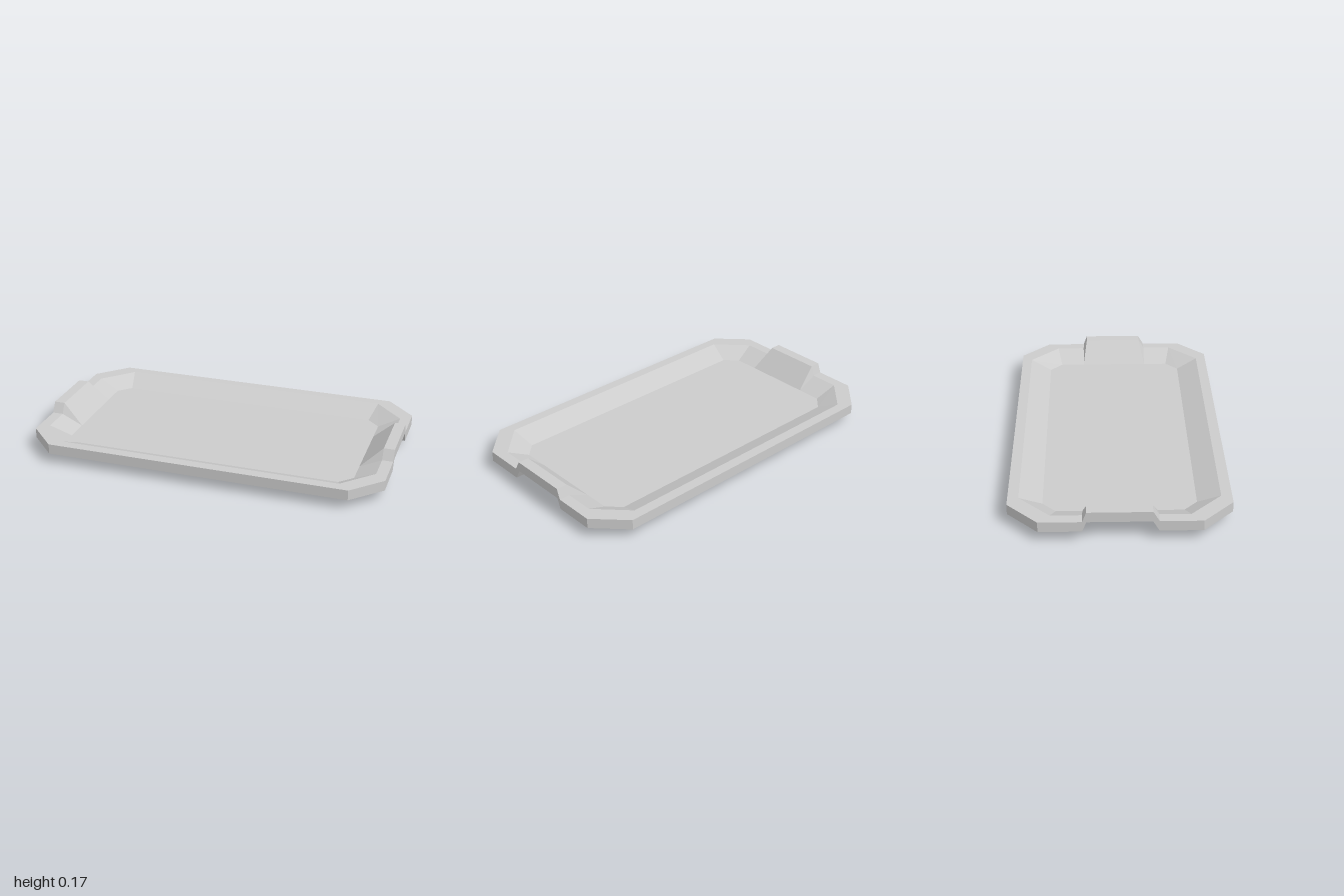
import * as THREE from 'three';

const T = 0.057; // sheet thickness, measured straight up
const RIM = 0.057; // underside of the rim
const GRIP = 0.113; // underside of the raised handles

// Cross-section rings: right half from front to back as [x, z, underside height]
const floorHalf = [
  [0.75, 0.4, 0], [0.82, 0.33, 0], [0.82, 0.193, 0], [0.82, 0.193, 0],
  [0.82, -0.193, 0], [0.82, -0.193, 0], [0.82, -0.33, 0], [0.75, -0.4, 0],
];
const innerHalf = [
  [0.78, 0.52, RIM], [0.94, 0.355, RIM], [0.94, 0.193, RIM], [0.94, 0.16, GRIP],
  [0.94, -0.172, GRIP], [0.94, -0.193, RIM], [0.94, -0.355, RIM], [0.78, -0.52, RIM],
];
const outerHalf = [
  [0.84, 0.577, RIM], [1, 0.415, RIM], [1, 0.193, RIM], [1, 0.16, GRIP],
  [1, -0.172, GRIP], [1, -0.193, RIM], [1, -0.415, RIM], [0.84, -0.577, RIM],
];

// Mirror a half into a closed ring of points
function ring(half) {
  const right = half.map(([x, z, y]) => new THREE.Vector3(x, y, z));
  const left = right.map((p) => new THREE.Vector3(-p.x, p.y, p.z)).reverse();
  return [...right, ...left];
}

const raise = (p) => new THREE.Vector3(p.x, p.y + T, p.z);

// Add a triangle unless it has collapsed to a line
function tri(out, a, b, c) {
  const area = b.clone().sub(a).cross(c.clone().sub(a)).length();
  if (area > 1e-6) for (const p of [a, b, c]) out.push(p.x, p.y, p.z);
}

function quad(out, a, b, c, d) {
  tri(out, a, b, c);
  tri(out, a, c, d);
}

// Upper and lower faces of one strip segment between two rings
function slab(out, a, b, i, j) {
  quad(out, raise(a[i]), raise(b[i]), raise(b[j]), raise(a[j]));
  quad(out, a[i], a[j], b[j], b[i]);
}

export function createModel() {
  const group = new THREE.Group();
  const material = new THREE.MeshStandardMaterial({ color: 0xcccccc, flatShading: true });
  const floor = ring(floorHalf);
  const inner = ring(innerHalf);
  const outer = ring(outerHalf);
  const n = floor.length;
  const parts = { floor: [], slopingSides: [], rim: [], leftHandle: [], rightHandle: [] };
  const centre = new THREE.Vector3();

  for (let i = 0; i < n; i++) {
    const j = (i + 1) % n;
    const k = i % 8;
    const isHandle = k >= 2 && k <= 4;
    const handle = i < 8 ? parts.leftHandle : parts.rightHandle;

    // Flat floor, top and bottom
    tri(parts.floor, raise(centre), raise(floor[i]), raise(floor[j]));
    tri(parts.floor, centre, floor[j], floor[i]);

    // Sloping wall, then flat rim with its outer edge
    slab(isHandle ? handle : parts.slopingSides, floor, inner, i, j);
    const edge = isHandle ? handle : parts.rim;
    slab(edge, inner, outer, i, j);
    quad(edge, outer[i], outer[j], raise(outer[j]), raise(outer[i]));
  }

  for (const [name, positions] of Object.entries(parts)) {
    const geometry = new THREE.BufferGeometry();
    geometry.setAttribute('position', new THREE.Float32BufferAttribute(positions, 3));
    geometry.computeVertexNormals();
    const mesh = new THREE.Mesh(geometry, material);
    mesh.name = name;
    group.add(mesh);
  }
  group.name = 'tray';
  return group;
}
